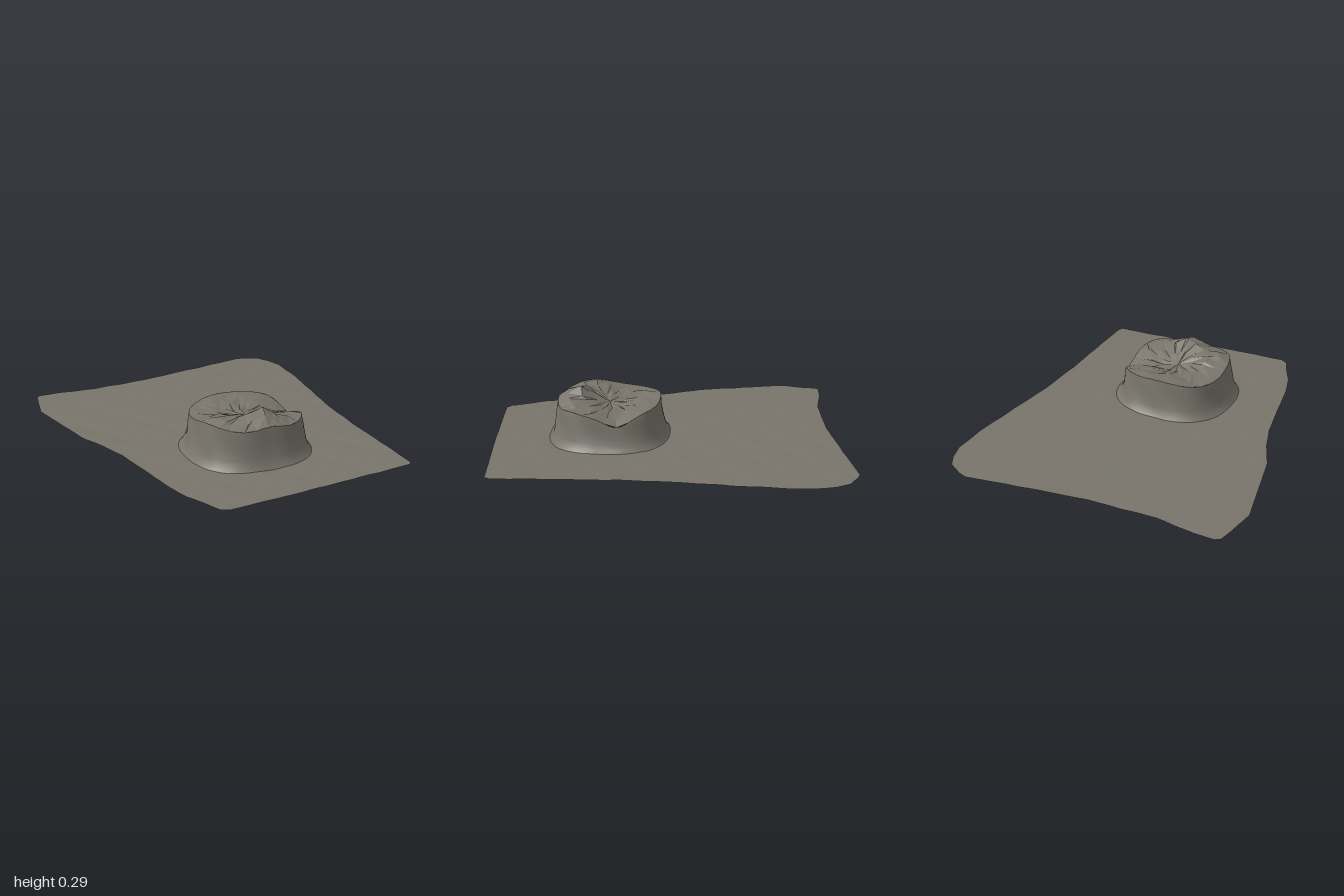
import * as THREE from 'three';

const CX = 0.045, CZ = 0.335; // centre of the mound

// Edge of the ground sheet, as x, z pairs
const EDGE = [[-0.75, -0.88], [-0.63, -0.88], [-0.42, -0.855], [-0.05, -0.88], [0.3, -0.94], [0.62, -1],
  [0.67, -0.985], [0.75, -0.94], [0.79, -0.87], [0.815, -0.78], [0.815, -0.6], [0.79, -0.35], [0.75, 0],
  [0.74, 0.3], [0.745, 0.88], [0.73, 0.91], [0.2, 0.96], [-0.2, 0.99], [-0.35, 1], [-0.39, 0.975],
  [-0.43, 0.88], [-0.48, 0.78], [-0.52, 0.64], [-0.56, 0.4], [-0.6, 0.18], [-0.65, 0.02], [-0.72, -0.14],
  [-0.78, -0.43], [-0.82, -0.62], [-0.81, -0.68], [-0.775, -0.86]];

const bump = (x, z, px, pz, w) => Math.exp(-((x - px) ** 2 + (z - pz) ** 2) / (w * w));

// Gently tilted ground with small ripples
const groundY = (x, z) => 0.025 + 0.012 * x - 0.009 * z
  + 0.0015 * Math.sin(17 * x + 5 * z) * Math.sin(21 * z - 4 * x)
  + 0.001 * Math.sin(41 * x + 9 * z) * Math.cos(33 * z);

// Uneven crown: front peak, left shoulder, back lip, notch on the left flank
const crownY = (x, z) => 0.207
  + 0.09 * bump(x, z, 0.06, 0.51, 0.1)
  + 0.05 * bump(x, z, -0.15, 0.44, 0.13)
  + 0.03 * bump(x, z, 0.02, 0.04, 0.17)
  + 0.02 * bump(x, z, 0.26, 0.5, 0.1)
  + 0.015 * bump(x, z, 0.22, 0.12, 0.12)
  - 0.05 * bump(x, z, 0.33, 0.27, 0.09)
  - 0.015 * bump(x, z, 0.08, 0.28, 0.12);

// Rounded-square radius in a given direction
function squircle(angle, a, b) {
  const n = 2.5;
  return (Math.abs(Math.cos(angle) / a) ** n + Math.abs(Math.sin(angle) / b) ** n) ** (-1 / n);
}

const polar = (angle, r) => [CX + Math.cos(angle) * r, CZ + Math.sin(angle) * r];

// Joins closed rings of points, ordered from the inside outward
function skinRings(rings) {
  const n = rings[0].length, index = [];
  for (let k = 0; k < rings.length - 1; k++) {
    for (let i = 0; i < n; i++) {
      const j = (i + 1) % n;
      const a = k * n + i, b = a + n, c = (k + 1) * n + j, d = k * n + j;
      index.push(a, c, b, a, d, c);
    }
  }
  const geometry = new THREE.BufferGeometry();
  geometry.setAttribute('position', new THREE.Float32BufferAttribute(rings.flat(2), 3));
  geometry.setIndex(index);
  geometry.computeVertexNormals();
  return geometry;
}

export function createModel() {
  const group = new THREE.Group();
  const stone = new THREE.MeshStandardMaterial({ color: 0x78746b, side: THREE.DoubleSide });
  stone.name = 'stone grey';

  const add = (name, geometry) => {
    const mesh = new THREE.Mesh(geometry, stone);
    mesh.name = name;
    group.add(mesh);
  };

  // Evenly spaced samples along the sheet edge
  const rim = [];
  EDGE.forEach(([x, z], i) => {
    const [x2, z2] = EDGE[(i + 1) % EDGE.length];
    const steps = Math.ceil(Math.hypot(x2 - x, z2 - z) / 0.035);
    for (let s = 0; s < steps; s++) rim.push([x + (x2 - x) * s / steps, z + (z2 - z) * s / steps]);
  });
  const angles = rim.map(([x, z]) => Math.atan2(z - CZ, x - CX));

  // Ground sheet from the mound foot out to the edge
  const sheet = [];
  for (let k = 0; k <= 32; k++) {
    const t = k / 32;
    sheet.push(rim.map(([ex, ez], i) => {
      const [fx, fz] = polar(angles[i], squircle(angles[i], 0.345, 0.335));
      const x = fx + (ex - fx) * t, z = fz + (ez - fz) * t;
      return [x, groundY(x, z), z];
    }));
  }
  add('groundSheet', skinRings(sheet));

  // Mound wall: flared foot, steep side, slightly rounded lip
  const profile = [[1, 0], [0.9, 0.8], [0.94, 0.55], [0.6, 0.4], [0.4, 0.24], [0.2, 0.1], [0, 0]];
  const heights = [1, 0.92, 0.75, 0.5, 0.25, 0.09, 0];
  const spread = [0, 0.06, 0.13, 0.25, 0.45, 0.72, 1];
  const wall = profile.map((_, k) => angles.map((angle) => {
    const top = squircle(angle, 0.288, 0.282), foot = squircle(angle, 0.345, 0.335);
    const wobble = 0.005 * Math.sin(angle * 9 + k) * Math.sin(Math.PI * heights[k]);
    const [x, z] = polar(angle, top + (foot - top) * spread[k] + wobble);
    const [tx, tz] = polar(angle, top);
    const low = groundY(x, z);
    return [x, low + (crownY(tx, tz) - low) * heights[k], z];
  }));
  add('moundWall', skinRings(wall));

  // Broken crown in broad flat facets
  const sides = 28;
  const crown = [0, 0.28, 0.55, 0.8, 1].map((s, k) => Array.from({ length: sides }, (_, i) => {
    const angle = i / sides * Math.PI * 2;
    const inner = s > 0 && s < 1;
    const turn = inner ? 0.08 * Math.sin(i * 2.7 + k * 1.9) : 0;
    const [x, z] = polar(angle + turn, s * squircle(angle, 0.29, 0.284));
    const rough = inner ? 0.006 * Math.sin(i * 1.7 + k * 2.3) : 0;
    return [x, crownY(x, z) + rough, z];
  }));
  const facets = skinRings(crown).toNonIndexed();
  facets.computeVertexNormals();
  add('moundCrown', facets);

  return group;
}
